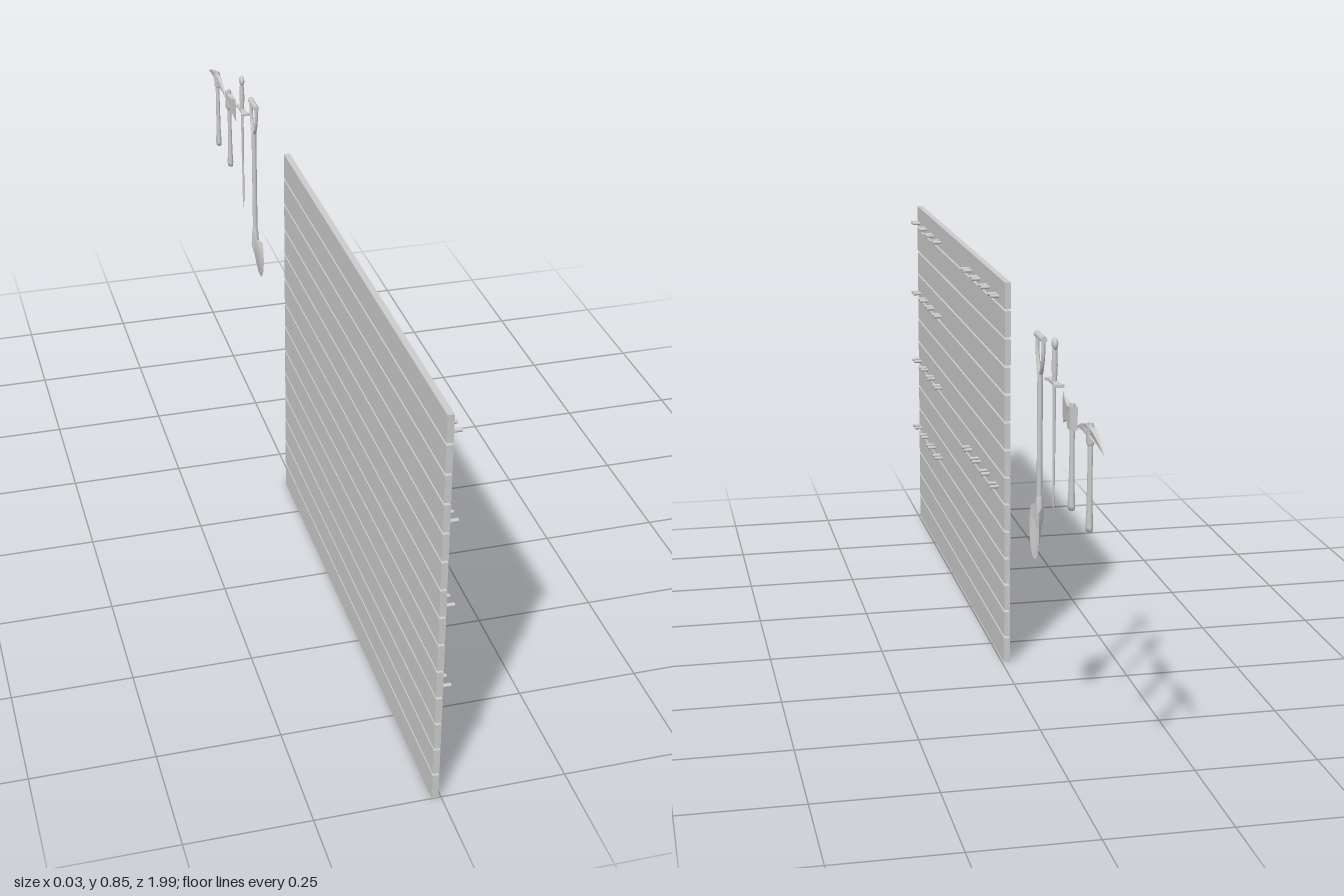
import * as THREE from 'three';

const mat = new THREE.MeshStandardMaterial({ color: 0xcccccc, side: THREE.DoubleSide });
const flat = new THREE.MeshStandardMaterial({ color: 0xcccccc, side: THREE.DoubleSide, flatShading: true });

function add(parent, name, geometry, y = 0, z = 0, material = mat) {
  const mesh = new THREE.Mesh(geometry, material);
  mesh.name = name;
  mesh.position.set(0, y, z);
  parent.add(mesh);
  return mesh;
}

// Flat side outline, u running towards -z, with thickness along x that may vary with u
function sidePlate(shape, thickness, taper) {
  const g = new THREE.ExtrudeGeometry(shape, { depth: thickness, bevelEnabled: false, curveSegments: 12 });
  g.translate(0, 0, -thickness / 2);
  const p = g.attributes.position;
  if (taper) for (let i = 0; i < p.count; i++) p.setZ(i, p.getZ(i) * taper(p.getX(i)));
  g.rotateY(Math.PI / 2);
  g.computeVertexNormals();
  return g;
}

const polygon = pts => new THREE.Shape(pts.map(([u, y]) => new THREE.Vector2(u, y)));

// Turned part from [radius, y] points, optionally flattened along x
function turned(points, flatten = 1, sides = 14) {
  return new THREE.LatheGeometry(points.map(([r, y]) => new THREE.Vector2(r, y)), sides).scale(flatten, 1, 1);
}

function toolGroup(parent, name, z) {
  const g = new THREE.Group();
  g.name = name;
  g.position.set(0.004, 0, z);
  parent.add(g);
  return g;
}

// Wall of horizontal planks with rows of paired pegs
function buildRack(root) {
  const rack = new THREE.Group();
  rack.name = 'plankWall';
  root.add(rack);
  for (let i = 0; i < 14; i++) {
    add(rack, 'plank', new THREE.BoxGeometry(0.013, 0.056, 1.12), 0.028 + i * 0.0611, 0.44)
      .position.x = -0.0115;
  }
  const pegGeo = new THREE.CylinderGeometry(0.004, 0.004, 0.02, 10).rotateZ(Math.PI / 2);
  const rows = [[0.81, 0.665], [0.624, 0.665], [0.441, 0.665], [0.258, 0.665], [0.81, -0.043], [0.387, -0.043]];
  for (const [y, z0] of rows)
    for (let i = 0; i < 4; i++)
      for (const side of [-1, 1])
        add(rack, 'peg', pegGeo, y, z0 + i * 0.103 + side * 0.0135).position.x = 0.004;
}

function buildShovel(root) {
  const g = toolGroup(root, 'shovel', -0.495);
  add(g, 'shovelShaft', turned([[0, 0.45], [0.0065, 0.45], [0.0065, 0.74], [0.009, 0.75], [0, 0.755]], 0.85));
  add(g, 'shovelSocket', turned([[0.006, 0.43], [0.012, 0.45], [0.009, 0.49], [0.007, 0.495]], 0.75));
  // D-shaped handle: two curved arms and a cross grip
  for (const s of [-1, 1]) {
    const arm = new THREE.CatmullRomCurve3([
      new THREE.Vector3(0, 0.742, s * 0.003), new THREE.Vector3(0, 0.757, s * 0.015),
      new THREE.Vector3(0, 0.78, s * 0.024), new THREE.Vector3(0, 0.815, s * 0.026)]);
    add(g, 'handleArm', new THREE.TubeGeometry(arm, 12, 0.004, 8));
  }
  add(g, 'handleGrip', new THREE.CylinderGeometry(0.0065, 0.0065, 0.062, 12).rotateX(Math.PI / 2), 0.814);
  // Dished blade: the middle sits back, rim and tip come forward
  const blade = new THREE.PlaneGeometry(2, 1, 12, 16);
  const p = blade.attributes.position;
  for (let i = 0; i < p.count; i++) {
    const s = p.getX(i), t = 0.5 - p.getY(i);
    const half = t < 0.4 ? 0.034 + 0.009 * Math.sin(t / 0.4 * Math.PI / 2)
      : 0.043 * Math.sqrt(Math.max(0, 1 - ((t - 0.4) / 0.6) ** 2.2));
    const y = 0.477 - 0.112 * t - 0.008 * s * s * (1 - t);
    p.setXYZ(i, 0.01 - 0.016 * (1 - s * s) * (1 - t ** 1.6), y, -s * half);
  }
  blade.computeVertexNormals();
  add(g, 'shovelBlade', blade);
}

function buildSword(root) {
  const g = toolGroup(root, 'sword', -0.615);
  add(g, 'pommel', new THREE.SphereGeometry(0.012, 14, 10).scale(0.5, 1, 1), 0.826);
  add(g, 'swordGrip', turned([[0.005, 0.754], [0.0065, 0.785], [0.005, 0.818]], 0.9));
  // Crossguard flared at both ends
  const guard = polygon([[-0.034, -0.011], [-0.02, -0.006], [0.02, -0.006], [0.034, -0.011],
    [0.034, 0.011], [0.02, 0.006], [-0.02, 0.006], [-0.034, 0.011]]);
  const guardGeo = new THREE.ExtrudeGeometry(guard, { depth: 0.006, bevelEnabled: false });
  guardGeo.rotateX(-Math.PI / 2).rotateY(Math.PI / 2);
  add(g, 'crossguard', guardGeo, 0.749);
  // Four-sided tapering blade
  add(g, 'swordBlade', turned([[0, 0.49], [0.006, 0.52], [0.01, 0.75]], 0.35, 4), 0, 0, flat);
}

// Oval wooden handle with a swollen foot
function woodHandle(g, name, top) {
  add(g, name, turned([[0, 0.545], [0.01, 0.546], [0.0115, 0.555], [0.009, 0.585],
    [0.0075, 0.66], [0.0085, top - 0.002], [0, top]], 0.6));
}

function buildAxe(root) {
  const g = toolGroup(root, 'axe', -0.757);
  woodHandle(g, 'axeHandle', 0.747);
  const head = new THREE.Shape();
  head.moveTo(0.012, 0.742);
  head.lineTo(-0.018, 0.738);
  head.quadraticCurveTo(-0.045, 0.738, -0.07, 0.752);
  head.quadraticCurveTo(-0.08, 0.722, -0.068, 0.693);
  head.quadraticCurveTo(-0.045, 0.706, -0.018, 0.71);
  head.lineTo(-0.012, 0.698);
  head.lineTo(0.012, 0.698);
  head.closePath();
  add(g, 'axeHead', sidePlate(head, 0.014, u => u > -0.012 ? 1 : Math.max(0.08, 1 + (u + 0.012) / 0.06)), 0, 0, flat);
}

function buildPickaxe(root) {
  const g = toolGroup(root, 'pickaxe', -0.89);
  woodHandle(g, 'pickaxeHandle', 0.744);
  add(g, 'pickaxeCollar', turned([[0.009, 0.704], [0.012, 0.708], [0.012, 0.737], [0.009, 0.741]], 0.6));
  const head = new THREE.Shape();
  head.moveTo(-0.098, 0.71);
  head.quadraticCurveTo(-0.055, 0.735, 0, 0.739);
  head.quadraticCurveTo(0.055, 0.735, 0.098, 0.71);
  head.quadraticCurveTo(0.05, 0.722, 0, 0.719);
  head.quadraticCurveTo(-0.05, 0.722, -0.098, 0.71);
  add(g, 'pickaxeHead', sidePlate(head, 0.013, u => 1 - 0.85 * Math.abs(u) / 0.098), 0, 0, flat);
}

export function createModel() {
  const root = new THREE.Group();
  root.name = 'toolRack';
  buildRack(root);
  buildShovel(root);
  buildSword(root);
  buildAxe(root);
  buildPickaxe(root);
  return root;
}
